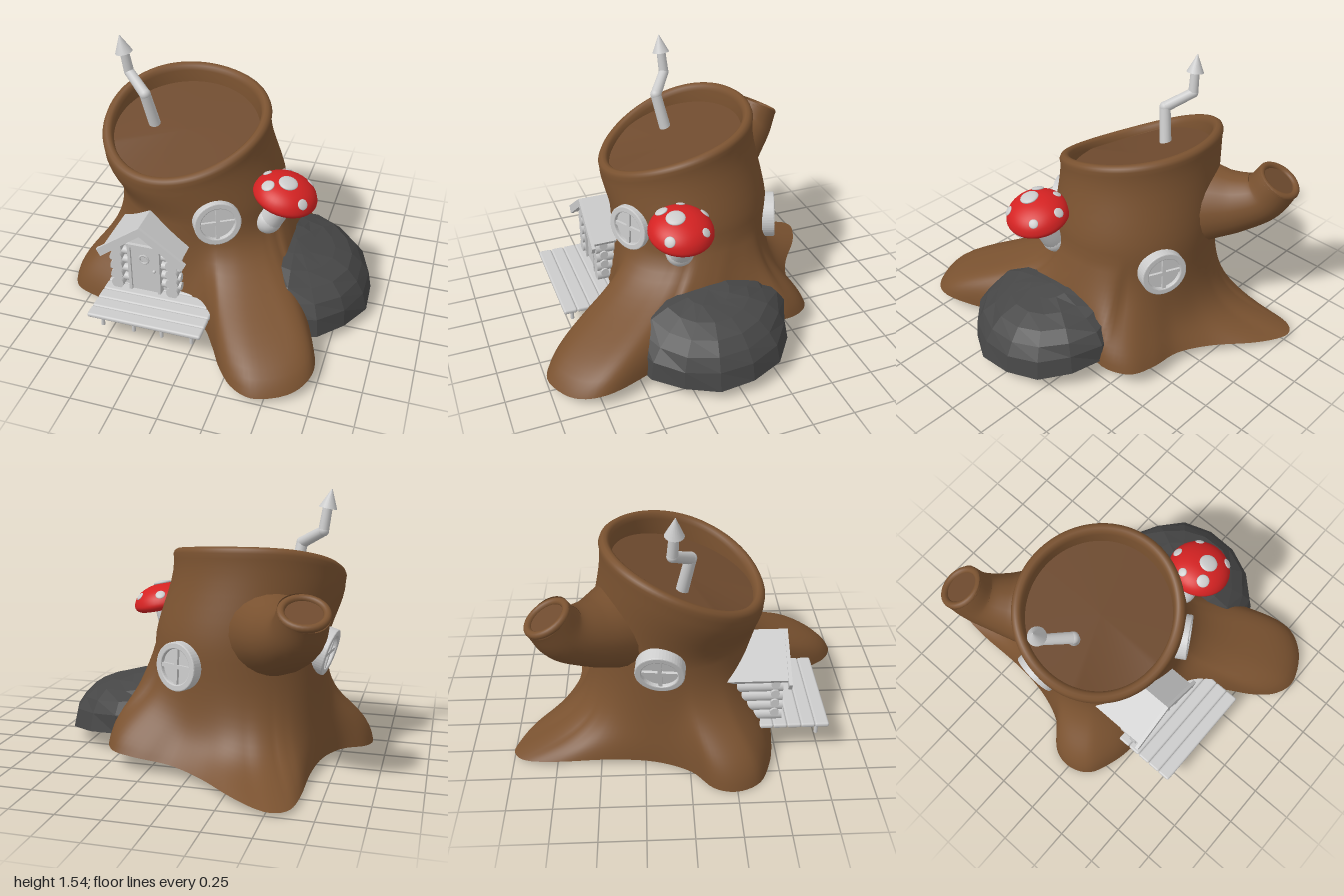
import * as THREE from 'three';
import { RoundedBoxGeometry } from 'three/addons/geometries/RoundedBoxGeometry.js';

const V = (x, y, z) => new THREE.Vector3(x, y, z);
const grey = new THREE.MeshStandardMaterial({ color: 0xcccccc });
const bark = new THREE.MeshStandardMaterial({ color: 0x7a5230, side: THREE.DoubleSide });
const wood = new THREE.MeshStandardMaterial({ color: 0x6e4a2e, side: THREE.DoubleSide });
const red = new THREE.MeshStandardMaterial({ color: 0xd42222 });
const stone = new THREE.MeshStandardMaterial({ color: 0x464646, flatShading: true, side: THREE.DoubleSide });

function add(parent, name, geometry, material = grey, x = 0, y = 0, z = 0) {
  const m = new THREE.Mesh(geometry, material);
  m.name = name;
  m.position.set(x, y, z);
  parent.add(m);
  return m;
}
const box = (p, name, w, h, d, x, y, z) => add(p, name, new THREE.BoxGeometry(w, h, d), grey, x, y, z);

// Round bar from a to b
function rod(parent, name, a, b, r1, r2 = r1, sides = 16) {
  const d = b.clone().sub(a);
  const m = add(parent, name, new THREE.CylinderGeometry(r2, r1, d.length(), sides));
  m.position.copy(a).add(b).multiplyScalar(0.5);
  m.quaternion.setFromUnitVectors(V(0, 1, 0), d.normalize());
}

// Tube whose radius follows r(t)
function sweep(points, r, segs = 24, sides = 24) {
  const curve = new THREE.CatmullRomCurve3(points);
  const g = new THREE.TubeGeometry(curve, segs, 1, sides);
  const p = g.attributes.position, v = V(0, 0, 0);
  for (let i = 0; i < p.count; i++) {
    const t = Math.floor(i / (sides + 1)) / segs, c = curve.getPointAt(t);
    v.fromBufferAttribute(p, i).sub(c).multiplyScalar(r(t)).add(c);
    p.setXYZ(i, v.x, v.y, v.z);
  }
  return g;
}

// Root outline on the ground: x, y, z, fullness of the slope above
const ROOTS = [
  [-0.1, 0.055, 0.5, 0.7], [0.03, 0.055, 0.56, 0.8], [0.13, 0.05, 0.7, 0.9], [0.22, 0.05, 0.85, 1], [0.33, 0.04, 0.96, 1],
  [0.47, 0.04, 0.995, 1], [0.65, 0.05, 0.9, 1], [0.725, 0.08, 0.73, 1], [0.65, 0.08, 0.48, 1.03],
  [0.52, 0.08, 0.22, 1.15], [0.46, 0.1, -0.02, 1.3], [0.47, 0.12, -0.25, 1.22], [0.52, 0.12, -0.45, 1.08],
  [0.45, 0.11, -0.6, 0.85], [0.3, 0.1, -0.65, 0.6], [0.1, 0.08, -0.66, 0.4], [-0.1, 0.06, -0.75, 0.3],
  [-0.3, 0.045, -0.9, 0.2], [-0.45, 0.03, -0.98, 0.15], [-0.55, 0.027, -1, 0.15], [-0.62, 0.025, -0.93, 0.15],
  [-0.64, 0.025, -0.75, 0.3], [-0.64, 0.03, -0.45, 0.6], [-0.67, 0.03, -0.2, 0.8], [-0.75, 0.02, 0, 0.9],
  [-0.88, 0.01, 0.12, 1], [-0.91, 0.005, 0.25, 1], [-0.85, 0.012, 0.38, 1], [-0.7, 0.022, 0.45, 0.9],
  [-0.55, 0.03, 0.48, 0.8], [-0.3, 0.045, 0.5, 0.7]];
// Rolled lip: inset and drop
const LIP = [[0, 0.06], [-0.004, 0.03], [0.004, 0.01], [0.02, 0], [0.038, 0], [0.053, 0.012], [0.06, 0.04]];
const rimY = (s, c) => 1.13 + 0.032 * s - 0.155 * c - 0.033 * c * c + 0.04 * s * c;
const floorY = c => 1.02 - 0.12 * c;

function trunk(parent) {
  const n = ROOTS.length, cols = n * 5, rows = [], floor = [-0.25, 1.02, -0.02];
  const outline = new THREE.CatmullRomCurve3(ROOTS.map(p => V(p[0], p[1], p[2])), true, 'catmullrom');
  for (let j = 0; j < cols; j++) {
    const b = outline.getPoint(j / cols), i = Math.floor(j / 5), f = (j % 5) / 5;
    const k = ROOTS[i][3] * (1 - f) + ROOTS[(i + 1) % n][3] * f;
    // spread the columns half way to an even spacing around the neck
    const polar = Math.atan2(b.x + 0.2, b.z + 0.02), even = 2 * Math.PI * j / cols - 0.23;
    const a = 0.5 * even + 0.5 * (polar < even - Math.PI ? polar + 2 * Math.PI : polar);
    const s = Math.sin(a), c = Math.cos(a), neck = V(-0.155 + 0.5 * s, 0.64, -0.07 + 0.475 * c), line = [];
    // flaring root slope
    for (let q = 0; q <= 16; q++) {
      const t = 1 - q / 16, u = 1 - t, m1 = 3 * u * u * t, m2 = 3 * u * t * t;
      const out = m1 * 3 * Math.max(0, k - 1) + m2 * (0.3 + 0.57 * k) + t * t * t;
      const h = u * u * u + m1 * (0.15 + 0.25 * k) + m2 * (0.1 + 0.3 * k);
      line.push([neck.x + (b.x - neck.x) * out, b.y + (0.64 - b.y) * h, neck.z + (b.z - neck.z) * out]);
    }
    // upper wall
    const top = (inset, y) => [-0.25 + (0.495 - inset) * s, y, -0.02 + (0.455 - inset) * c];
    const y = rimY(s, c), end = top(0, y - 0.06);
    for (let q = 1; q < 8; q++) {
      const t = q / 8, e = t * t * (3 - 2 * t);
      line.push([neck.x + (end[0] - neck.x) * e, 0.64 + (end[1] - 0.64) * t, neck.z + (end[2] - neck.z) * e]);
    }
    LIP.forEach(([inset, drop]) => line.push(top(inset, y - drop)));
    line.push(top(0.062, Math.min(floorY(c), y - 0.045)));
    floor.push(...line[line.length - 1]);
    rows.push(line);
  }
  const pos = [], idx = [], fidx = [], R = rows[0].length;
  rows.forEach(l => l.forEach(p => pos.push(...p)));
  for (let j = 0; j < cols; j++) {
    const a = j * R, b = ((j + 1) % cols) * R;
    for (let r = 0; r < R - 1; r++) idx.push(a + r, b + r, b + r + 1, a + r, b + r + 1, a + r + 1);
    fidx.push(0, j + 1, (j + 1) % cols + 1);
  }
  for (const [name, p, id, mat] of [['trunk', pos, idx, bark], ['trunkTop', floor, fidx, wood]]) {
    const g = new THREE.BufferGeometry();
    g.setAttribute('position', new THREE.Float32BufferAttribute(p, 3));
    g.setIndex(id);
    g.computeVertexNormals();
    add(parent, name, g, mat);
  }
}

function branch(parent) {
  const pts = [V(-0.4, 0.785, -0.38), V(-0.51, 0.8, -0.54), V(-0.595, 0.86, -0.67), V(-0.635, 0.975, -0.74)];
  add(parent, 'branch', sweep(pts, t => 0.137 + 0.12 * (1 - t) ** 1.8), bark);
  const end = new THREE.Group();
  end.name = 'branchEnd';
  end.position.copy(pts[3]);
  end.lookAt(pts[3].clone().add(V(-0.15, 0.87, -0.45)));
  add(end, 'branchLip', new THREE.TorusGeometry(0.117, 0.021, 12, 32), bark);
  add(end, 'branchCut', new THREE.CircleGeometry(0.12, 32), wood);
  parent.add(end);
}

function roundWindow(parent, at, normal) {
  const g = new THREE.Group();
  g.name = 'roundWindow';
  g.position.copy(at);
  g.lookAt(at.clone().add(normal));
  const ring = new THREE.Shape().absarc(0, 0, 0.13, 0, Math.PI * 2);
  ring.holes.push(new THREE.Path().absarc(0, 0, 0.105, 0, Math.PI * 2, true));
  add(g, 'windowFrame', new THREE.ExtrudeGeometry(ring, { depth: 0.07, bevelSize: 0.006, bevelThickness: 0.006, bevelSegments: 2, curveSegments: 24 }), grey, 0, 0, -0.035);
  add(g, 'windowPane', new THREE.CircleGeometry(0.106, 32), grey, 0, 0, 0.018);
  box(g, 'windowBar', 0.205, 0.022, 0.02, 0, 0, 0.024);
  box(g, 'windowBar', 0.022, 0.205, 0.02, 0, 0, 0.024);
  parent.add(g);
}

function house(parent) {
  const g = new THREE.Group();
  g.name = 'logHouse';
  g.position.x = -0.34;
  parent.add(g);
  // log walls with short crossing logs at the corners
  for (const s of [-1, 1]) for (let i = 0; i < 5; i++) {
    const y = 0.235 + i * 0.064;
    rod(g, 'wallLog', V(s * 0.17, y, 0.15), V(s * 0.17, y, 0.53), 0.037);
    if (i < 4) rod(g, 'cornerLog', V(s * 0.1, y + 0.032, 0.485), V(s * 0.218, y + 0.032, 0.485), 0.025);
  }
  // front wall, door and gable boards
  box(g, 'frontWall', 0.3, 0.33, 0.03, 0, 0.36, 0.46);
  for (const s of [-1, 1]) box(g, 'doorPost', 0.018, 0.32, 0.05, s * 0.089, 0.36, 0.5);
  box(g, 'doorLintel', 0.2, 0.02, 0.055, 0, 0.525, 0.5);
  box(g, 'door', 0.16, 0.32, 0.03, 0, 0.36, 0.495);
  add(g, 'wreath', new THREE.TorusGeometry(0.028, 0.007, 5, 12), grey, 0, 0.435, 0.515);
  add(g, 'doorKnob', new THREE.SphereGeometry(0.01, 12, 8), grey, 0.06, 0.36, 0.515);
  for (let i = 0; i < 4; i++) box(g, 'gableBoard', 0.29 - i * 0.085, 0.036, 0.03, 0, 0.55 + i * 0.034, 0.49).rotation.x = -0.15;
  // roof and its front trim
  const gable = (name, w, drop, t, z, d) => {
    const s = new THREE.Shape();
    s.moveTo(-w, 0.69 - drop).lineTo(0, 0.69).lineTo(w, 0.69 - drop).lineTo(w - 0.025, 0.69 - drop - t).lineTo(0, 0.69 - t * 1.25).lineTo(-w + 0.025, 0.69 - drop - t);
    add(g, name, new THREE.ExtrudeGeometry(s, { depth: d, bevelEnabled: false }), grey, 0, 0, z);
  };
  gable('roof', 0.24, 0.19, 0.03, 0.2, 0.36);
  gable('roofTrim', 0.272, 0.2, 0.045, 0.55, 0.02);
  // porch
  for (let i = 0; i < 8; i++) add(g, 'porchPlank', new RoundedBoxGeometry(0.68, 0.028, 0.08, 2, 0.012), grey, 0.09, 0.19, 0.2 + i * 0.08);
  for (const x of [-0.18, 0.01, 0.18, 0.36]) rod(g, 'porchPost', V(x, 0.09, 0.74), V(x, 0.19, 0.74), 0.011);
}

function mushroom(parent) {
  const g = new THREE.Group();
  g.name = 'mushroom';
  parent.add(g);
  const pts = [V(0.298, 0.605, 0.15), V(0.34, 0.66, 0.155), V(0.385, 0.74, 0.165), V(0.405, 0.84, 0.17)];
  add(g, 'stem', sweep(pts, t => 0.052 + 0.031 * (1 - t) ** 2));
  add(g, 'stemFoot', new THREE.SphereGeometry(0.083, 24, 16), grey, 0.298, 0.605, 0.15);
  const cap = new THREE.Group();
  cap.name = 'mushroomCap';
  cap.position.set(0.4, 0.815, 0.18);
  cap.rotation.z = -0.22;
  g.add(cap);
  const prof = [[0, 0.005], [0.08, -0.01], [0.14, -0.035], [0.165, -0.033], [0.183, -0.012], [0.183, 0.012], [0.165, 0.048], [0.128, 0.08], [0.07, 0.103], [0, 0.112]];
  const curve = new THREE.SplineCurve(prof.map(p => new THREE.Vector2(...p)));
  add(cap, 'capSkin', new THREE.LatheGeometry(curve.getPoints(36).map(p => p.setX(Math.max(0, p.x))), 40), red);
  for (const [x, z, r] of [[0.0, 0.04, 0.055], [-0.04, -0.15, 0.03], [-0.135, -0.04, 0.026], [-0.1, 0.085, 0.038], [0.11, -0.1, 0.027], [0.115, 0.11, 0.031]]) {
    const y = 0.112 * Math.sqrt(Math.max(0.1, 1 - (x * x + z * z) / 0.0335));
    const spot = add(cap, 'capSpot', new THREE.SphereGeometry(r, 20, 10), grey, x, y, z);
    spot.scale.y = 0.28;
    spot.quaternion.setFromUnitVectors(V(0, 1, 0), V(x / 0.0335, y / 0.0125, z / 0.0335).normalize());
  }
}

// Hollow faceted boulder, open below
function rock(parent) {
  const geo = new THREE.SphereGeometry(1, 15, 6, 0, Math.PI * 2, 0, Math.PI / 2), p = geo.attributes.position;
  for (let i = 0; i < p.count; i++) {
    const x = p.getX(i), y = p.getY(i), z = p.getZ(i);
    const w = 1 + 0.035 * Math.sin(7 * x + 3 * z) * Math.cos(5 * z + 4 * y);
    p.setXYZ(i, x * w * (x > 0 ? 0.465 : 0.32), 0.12 - 0.045 * x - 0.03 * z + 0.295 * w * Math.max(0, y) ** 0.75, z * w * (z > 0 ? 0.495 : 0.475));
  }
  geo.computeVertexNormals();
  add(parent, 'rock', geo, stone, 0.45, 0, 0.035);
}

function chimney(parent) {
  const g = new THREE.Group();
  g.name = 'chimney';
  parent.add(g);
  const p = [V(-0.45, 0.99, -0.04), V(-0.49, 1.23, 0.01), V(-0.625, 1.31, -0.09), V(-0.645, 1.45, -0.08)];
  for (let i = 0; i < 3; i++) {
    rod(g, 'pipe', p[i], p[i + 1], 0.036 - i * 0.003, 0.033 - i * 0.003);
    if (i) add(g, 'elbow', new THREE.SphereGeometry(0.037 - i * 0.003, 16, 12)).position.copy(p[i]);
  }
  rod(g, 'chimneyCap', V(-0.645, 1.435, -0.08), V(-0.665, 1.54, -0.075), 0.052, 0.002, 20);
}

export function createModel() {
  const model = new THREE.Group();
  model.name = 'stumpHouse';
  trunk(model);
  branch(model);
  roundWindow(model, V(0.05, 0.68, 0.355), V(0.5, 0.05, 0.86));
  roundWindow(model, V(0.085, 0.595, -0.5), V(0.4, 0.05, -0.92));
  roundWindow(model, V(-0.658, 0.65, -0.16), V(-0.95, -0.28, -0.12));
  house(model);
  mushroom(model);
  rock(model);
  chimney(model);
  return model;
}
